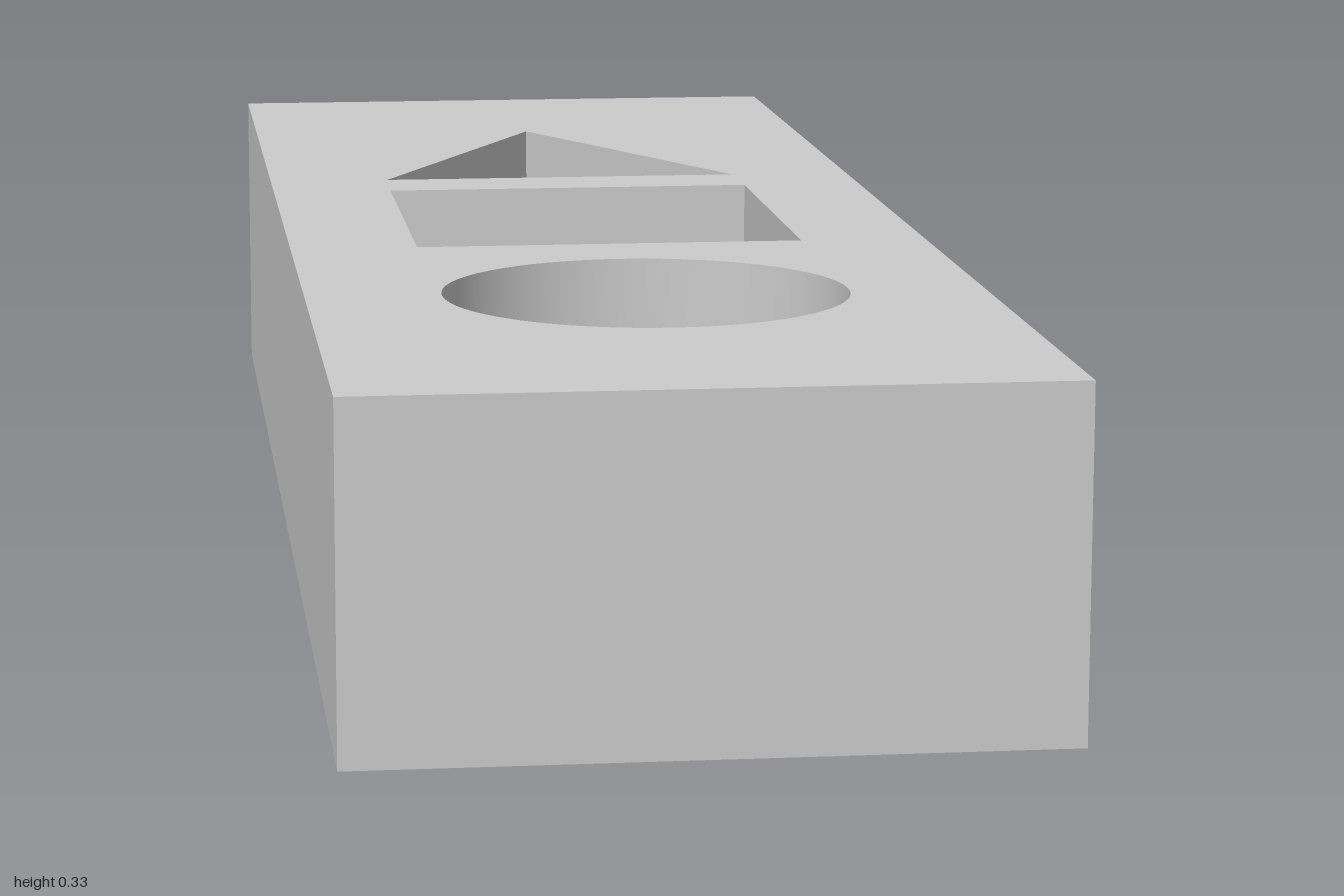
import * as THREE from 'three';
import { toCreasedNormals } from 'three/addons/utils/BufferGeometryUtils.js';

const W = 0.667, H = 0.333, L = 2, SEGMENTS = 32;

// Closed outline from counter-clockwise corners (x, -z)
const outline = (corners) => new THREE.Shape(corners.map(([x, y]) => new THREE.Vector2(x, y)));

// Inward-facing walls of a well, from the top surface (0) down to -depth
function wallGeometry(shape, depth) {
  const pts = shape.getPoints(SEGMENTS);
  const pos = [];
  pts.forEach((a, i) => {
    const b = pts[(i + 1) % pts.length];
    if (a.distanceTo(b) < 1e-6) return;
    pos.push(b.x, b.y, -depth, a.x, a.y, -depth, a.x, a.y, 0);
    pos.push(b.x, b.y, -depth, a.x, a.y, 0, b.x, b.y, 0);
  });
  const geo = new THREE.BufferGeometry();
  geo.setAttribute('position', new THREE.Float32BufferAttribute(pos, 3));
  geo.computeVertexNormals();
  return toCreasedNormals(geo, Math.PI / 6);
}

export function createModel() {
  const group = new THREE.Group();
  const material = new THREE.MeshStandardMaterial({ color: 0xcccccc });

  const add = (name, geometry, y) => {
    const mesh = new THREE.Mesh(geometry, material);
    mesh.name = name;
    mesh.position.y = y;
    group.add(mesh);
  };

  // Block sides and underside: a box without its top face
  const box = new THREE.BoxGeometry(W, H, L);
  const index = Array.from(box.index.array);
  index.splice(12, 6);
  box.setIndex(index);
  box.clearGroups();
  add('block', box, H / 2);

  // Sunken wells: round at the front, square in the middle, triangular at the back
  const circle = new THREE.Shape().absarc(0, -0.5, 0.2, 0, Math.PI * 2, false);
  const wells = [
    { name: 'roundWell', shape: circle, depth: 0.167 },
    { name: 'squareWell', shape: outline([[-0.202, -0.202], [0.202, -0.202], [0.202, 0.202], [-0.202, 0.202]]), depth: 0.2 },
    { name: 'triangularWell', shape: outline([[-0.2, 0.287], [0.2, 0.287], [0, 0.687]]), depth: 0.2 },
  ];

  // Top surface with the openings cut out
  const top = outline([[-W / 2, -L / 2], [W / 2, -L / 2], [W / 2, L / 2], [-W / 2, L / 2]]);
  top.holes = wells.map((w) => w.shape);
  add('topSurface', new THREE.ShapeGeometry(top, SEGMENTS).rotateX(-Math.PI / 2), H);

  // Walls and floor of each well
  for (const { name, shape, depth } of wells) {
    add(name + 'Walls', wallGeometry(shape, depth).rotateX(-Math.PI / 2), H);
    add(name + 'Floor', new THREE.ShapeGeometry(shape, SEGMENTS).rotateX(-Math.PI / 2), H - depth);
  }
  return group;
}
